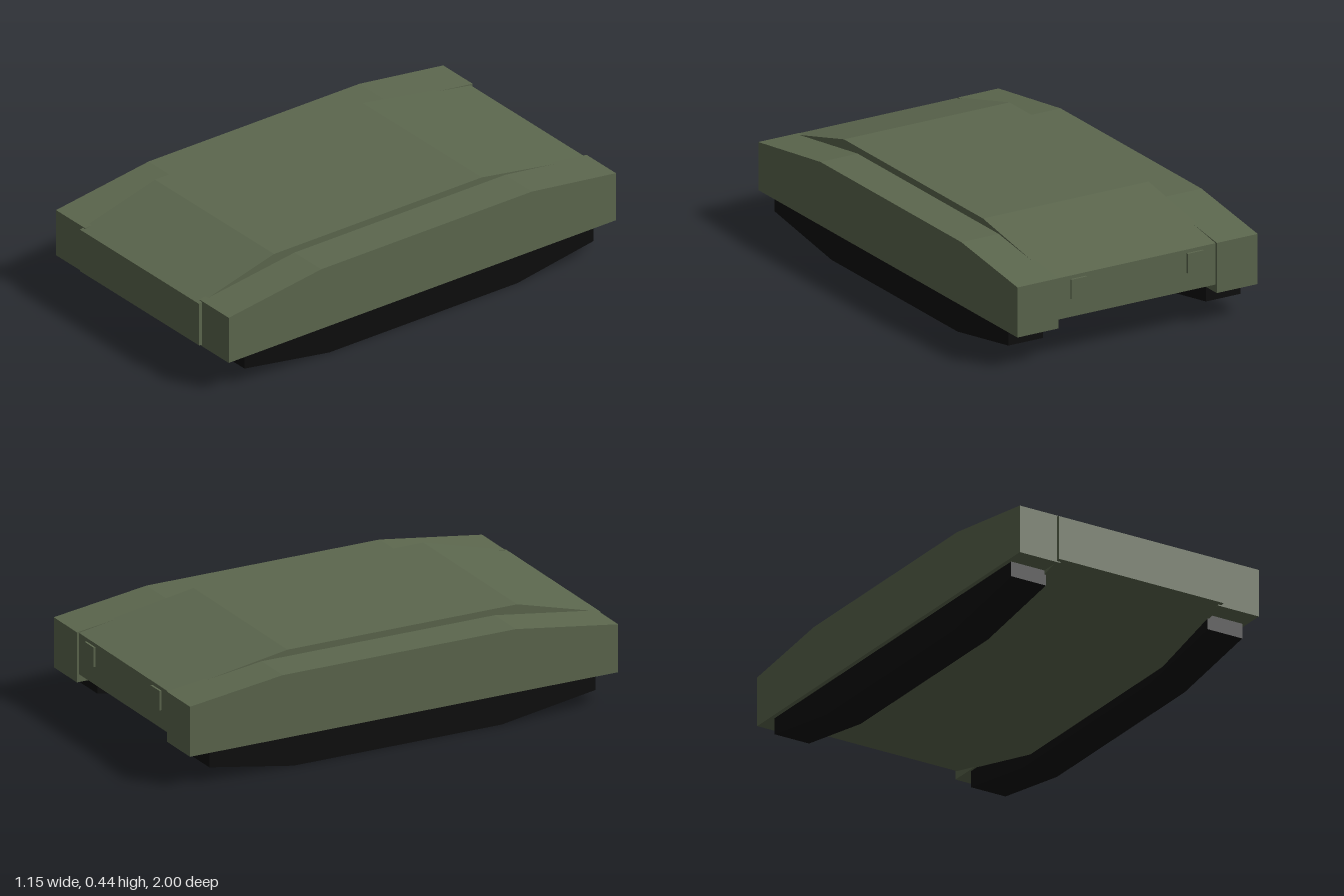
import * as THREE from 'three';

const olive = new THREE.MeshStandardMaterial({ color: 0x5c674e });
olive.name = 'olive armour';
const black = new THREE.MeshStandardMaterial({ color: 0x0d0d0d });
black.name = 'track black';

// Extrudes a side profile of [z, y] points across x from x0 to x1.
function slab(name, profile, x0, x1, material) {
  const shape = new THREE.Shape(profile.map(([z, y]) => new THREE.Vector2(-z, y)));
  const geometry = new THREE.ExtrudeGeometry(shape, { depth: x1 - x0, bevelEnabled: false });
  geometry.rotateY(Math.PI / 2); // shape x becomes -z, depth becomes +x
  geometry.translate(x0, 0, 0);
  const mesh = new THREE.Mesh(geometry, material);
  mesh.name = name;
  return mesh;
}

export function createModel() {
  const model = new THREE.Group();
  model.name = 'armouredHull';

  // Central hull with sloped nose, tail and belly
  const hull = [
    [1, 0.145], [1, 0.337], [0.615, 0.44], [-0.45, 0.44],
    [-0.99, 0.35], [-0.99, 0.17], [-0.45, 0.035], [0.55, 0.035],
  ];
  model.add(slab('hull', hull, -0.397, 0.397, olive));

  const sponson = [
    [0.985, 0.136], [0.985, 0.345], [0.51, 0.412],
    [-0.57, 0.412], [-1, 0.354], [-1, 0.136],
  ];
  const track = [
    [0.89, 0.15], [0.89, 0.07], [0.455, 0],
    [-0.51, 0], [-0.9, 0.065], [-0.9, 0.15],
  ];

  for (const [side, s] of [['left', 1], ['right', -1]]) {
    const span = (a, b) => (s > 0 ? [a, b] : [-b, -a]);
    // Side sponson over the running gear
    model.add(slab(side + 'Sponson', sponson, ...span(0.38, 0.576), olive));
    // Solid track block
    model.add(slab(side + 'Track', track, ...span(0.39, 0.557), black));
    // Small raised plate on the tail
    const plate = new THREE.Mesh(new THREE.BoxGeometry(0.075, 0.085, 0.018), olive);
    plate.name = side + 'RearPlate';
    plate.position.set(s * 0.279, 0.292, -0.99);
    model.add(plate);
  }
  return model;
}
